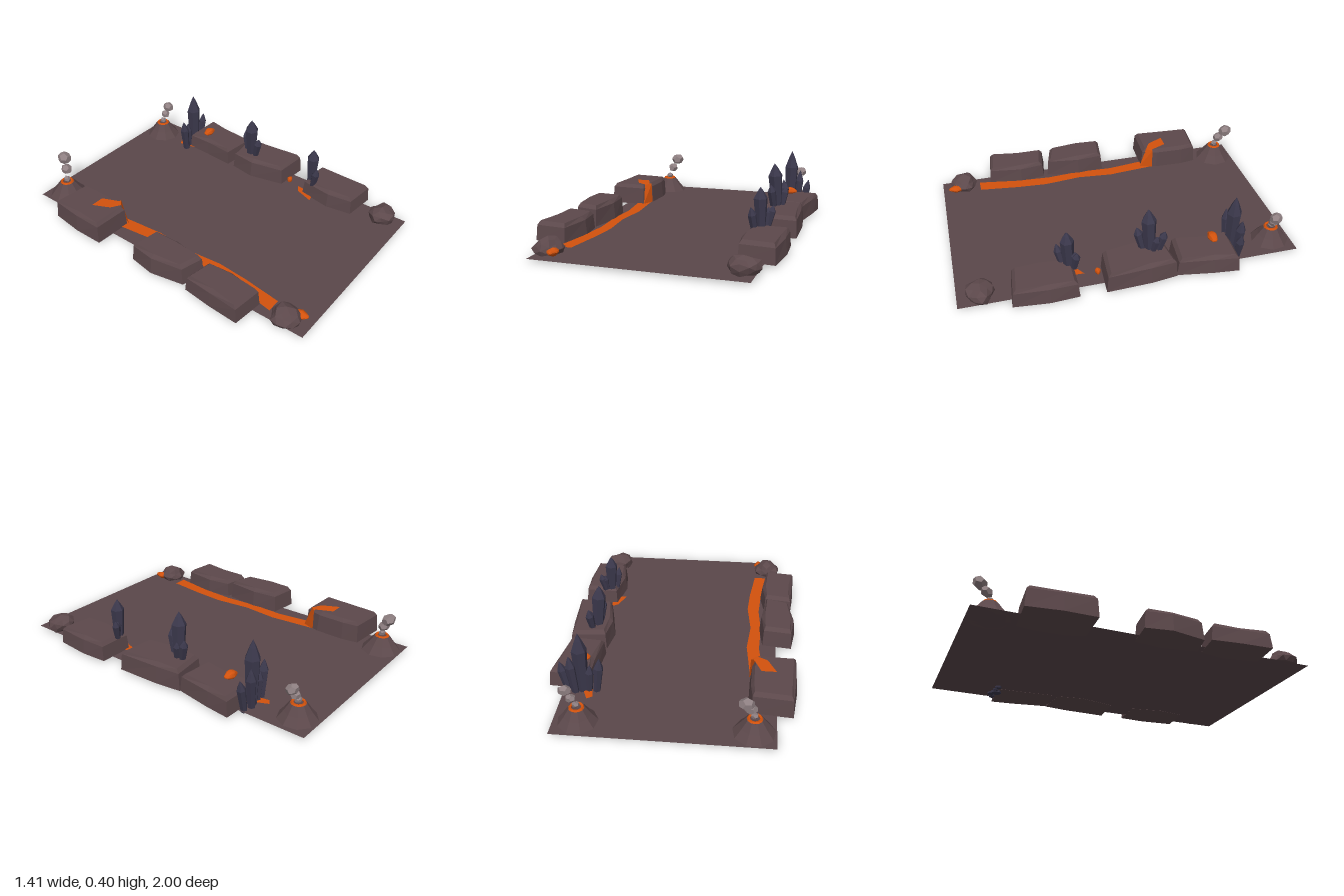
import * as THREE from 'three';

const mat = (name, color, side = THREE.FrontSide) => {
  const m = new THREE.MeshStandardMaterial({ color, flatShading: true, side });
  m.name = name;
  return m;
};
const GROUND = 0.02;

export function createModel() {
  const root = new THREE.Group();
  root.name = 'volcanicField';
  const rock = mat('basalt', 0x5c484b);
  const soil = mat('ash ground', 0x5a474a, THREE.DoubleSide);
  const lava = mat('lava', 0xd2520d, THREE.DoubleSide);
  const crystalMat = mat('dark crystal', 0x3b384c);
  const smokeMat = mat('smoke', 0x8f8082);

  const add = (name, geo, material, parent = root) => {
    const m = new THREE.Mesh(geo, material);
    m.name = name;
    parent.add(m);
    return m;
  };
  const group = (name) => {
    const g = new THREE.Group();
    g.name = name;
    root.add(g);
    return g;
  };
  const lathe = (pts, n) => new THREE.LatheGeometry(pts.map(p => new THREE.Vector2(...p)), n);
  const fromTriangles = (pos) => {
    const g = new THREE.BufferGeometry();
    g.setAttribute('position', new THREE.Float32BufferAttribute(pos, 3));
    g.computeVertexNormals();
    return g;
  };

  // Ground sheet
  const ground = add('ground', new THREE.PlaneGeometry(1.195, 2).rotateX(-Math.PI / 2), soil);
  ground.position.set(0.017, GROUND, 0);

  // Bevelled rock slab lofted from a clockwise footprint of [x, z] corners
  function slab(name, foot, top) {
    const n = foot.length;
    const cx = foot.reduce((s, p) => s + p[0], 0) / n;
    const cz = foot.reduce((s, p) => s + p[1], 0) / n;
    const ring = (y, inset) => foot.map(([x, z]) => {
      const k = 1 - inset / Math.hypot(x - cx, z - cz);
      return [cx + (x - cx) * k, y, cz + (z - cz) * k];
    });
    const rings = [ring(GROUND - 0.001, 0), ring(top - 0.022, 0.01), ring(top, 0.032)];
    const pos = [];
    const tri = (...c) => c.forEach(p => pos.push(...p));
    for (let i = 0; i < n; i++) {
      const j = (i + 1) % n;
      for (let r = 0; r < 2; r++) {
        const [a, b] = [rings[r], rings[r + 1]];
        tri(a[i], b[i], a[j]);
        tri(a[j], b[i], b[j]);
      }
      tri(rings[2][j], rings[2][i], [cx, top, cz]);
      tri(rings[0][i], rings[0][j], [cx, GROUND - 0.001, cz]);
    }
    add(name, fromTriangles(pos), rock);
  }
  slab('leftBackSlab', [[-.67, -.75], [-.44, -.73], [-.425, -.63], [-.43, -.45], [-.463, -.35], [-.695, -.36], [-.695, -.55]], 0.15);
  slab('leftMiddleSlab', [[-.675, -.10], [-.50, -.08], [-.48, .09], [-.515, .30], [-.66, .265], [-.70, .06]], 0.145);
  slab('leftFrontSlab', [[-.68, .30], [-.51, .325], [-.485, .48], [-.52, .69], [-.71, .67], [-.70, .48]], 0.13);
  slab('rightBackSlab', [[.465, -.605], [.705, -.595], [.69, -.45], [.655, -.235], [.445, -.255], [.46, -.45]], 0.13);
  slab('rightMiddleSlab', [[.45, -.21], [.66, -.235], [.68, -.08], [.69, .185], [.475, .17], [.425, -.05]], 0.143);
  slab('rightFrontSlab', [[.48, .33], [.685, .335], [.695, .5], [.675, .71], [.47, .69], [.445, .53]], 0.13);

  // Lava ribbons: pairs of left and right edge points
  function ribbon(name, rows) {
    const pos = [];
    for (let i = 0; i < rows.length - 1; i++) {
      const [[a, b], [c, d]] = [rows[i], rows[i + 1]];
      pos.push(...a, ...c, ...b, ...b, ...c, ...d);
    }
    add(name, fromTriangles(pos), lava);
  }
  const y = GROUND + 0.005;
  ribbon('lavaRiver', [
    [[-.51, y, -.38], [-.43, y, -.40]], [[-.48, y, -.13], [-.405, y, -.12]],
    [[-.49, y, .09], [-.425, y, .1]], [[-.475, y, .3], [-.402, y, .33]],
    [[-.49, y, .52], [-.415, y, .52]], [[-.53, y, .76], [-.445, y, .76]],
  ]);
  ribbon('lavaFall', [
    [[-.575, .154, -.525], [-.49, .154, -.525]], [[-.525, .154, -.42], [-.445, .154, -.42]],
    [[-.465, .152, -.385], [-.43, .152, -.42]], [[-.457, y, -.34], [-.425, y, -.42]],
  ]);
  ribbon('lavaPoolBack', [[[.442, y, -.68], [.472, y, -.70]], [[.46, y, -.57], [.53, y, -.57]]]);
  ribbon('lavaPoolFront', [[[.47, y, .305], [.515, y, .275]], [[.43, y, .415], [.51, y, .40]]]);

  // Deterministic rough ball, flattened at the ground
  function lump(name, material, [x, py, z], [sx, sy, sz], rough, detail, seed) {
    const g = new THREE.IcosahedronGeometry(1, detail);
    const p = g.attributes.position;
    const v = new THREE.Vector3();
    for (let i = 0; i < p.count; i++) {
      v.fromBufferAttribute(p, i);
      const wave = Math.sin(v.x * 5.1 + seed) + Math.sin(v.y * 4.3 + seed * 2) + Math.sin(v.z * 5.7 + seed * 3);
      v.multiplyScalar(1 + rough * wave);
      p.setXYZ(i, x + v.x * sx, Math.max(GROUND, py + v.y * sy), z + v.z * sz);
    }
    g.computeVertexNormals();
    add(name, g, material);
  }
  lump('leftBoulder', rock, [-.525, .05, .86], [.085, .06, .082], 0.08, 1, 1.3);
  lump('rightBoulder', rock, [.545, .05, .865], [.088, .06, .08], 0.08, 1, 2.9);
  lump('boulderEmber', lava, [-.468, .045, .915], [.03, .022, .045], 0.06, 2, 0.5);
  lump('slabEmber', lava, [.53, .155, -.485], [.046, .02, .028], 0.06, 2, 1.7);
  lump('gapEmber', lava, [.53, .04, .2], [.022, .018, .016], 0.06, 2, 2.4);

  // Crystal clusters: each shard is [base, tip, radius]
  function cluster(name, shards) {
    const g = group(name);
    for (const [base, tip, r] of shards) {
      const from = new THREE.Vector3(...base);
      const dir = new THREE.Vector3(...tip).sub(from);
      const h = dir.length();
      const profile = [[0, 0], [r * 0.72, 0], [r, h * 0.72], [r * 0.45, h * 0.89], [0, h]];
      const m = add('shard', lathe(profile, 6), crystalMat, g);
      m.position.copy(from);
      m.quaternion.setFromUnitVectors(new THREE.Vector3(0, 1, 0), dir.normalize());
    }
  }
  cluster('crystalsBack', [
    [[.51, .005, -.61], [.515, .4, -.615], .045],
    [[.43, .01, -.615], [.405, .24, -.615], .029],
    [[.545, .01, -.635], [.57, .265, -.645], .03],
    [[.59, .01, -.62], [.63, .21, -.62], .026],
    [[.47, .01, -.62], [.46, .2, -.625], .024],
  ]);
  cluster('crystalsMiddle', [
    [[.515, .13, -.11], [.498, .4, -.10], .044],
    [[.54, .13, -.155], [.555, .27, -.185], .026],
    [[.505, .13, -.07], [.49, .28, -.035], .027],
    [[.545, .13, -.12], [.565, .25, -.14], .022],
  ]);
  cluster('crystalsFront', [
    [[.52, .12, .365], [.515, .348, .37], .04],
    [[.555, .12, .34], [.58, .24, .325], .023],
    [[.495, .08, .39], [.475, .245, .425], .025],
    [[.545, .12, .35], [.555, .23, .33], .02],
  ]);

  // Volcano cones with glowing rims and rising smoke
  function volcano(name, x, z, r, puffs) {
    const g = group(name);
    const cone = add('cone', lathe([[0, 0], [r, 0], [r * .68, .045], [.046, .09], [.036, .092], [0, .082]], 9), rock, g);
    cone.position.set(x, GROUND, z);
    const rim = add('lavaRim', new THREE.TorusGeometry(.034, .009, 5, 12).rotateX(Math.PI / 2), lava, g);
    rim.position.set(x, .111, z);
    for (const [px, py, pz, s] of puffs) {
      const m = add('smokePuff', new THREE.DodecahedronGeometry(s), smokeMat, g);
      m.position.set(px, py, pz);
      m.scale.y = 0.8;
      m.rotation.set(.55, s * 40, 0);
    }
  }
  volcano('leftVolcano', -.46, -.88, .117, [[-.458, .13, -.88, .022], [-.437, .188, -.897, .036], [-.413, .247, -.932, .044]]);
  volcano('rightVolcano', .48, -.88, .112, [[.482, .13, -.88, .022], [.508, .168, -.878, .03], [.537, .215, -.874, .038]]);

  return root;
}
